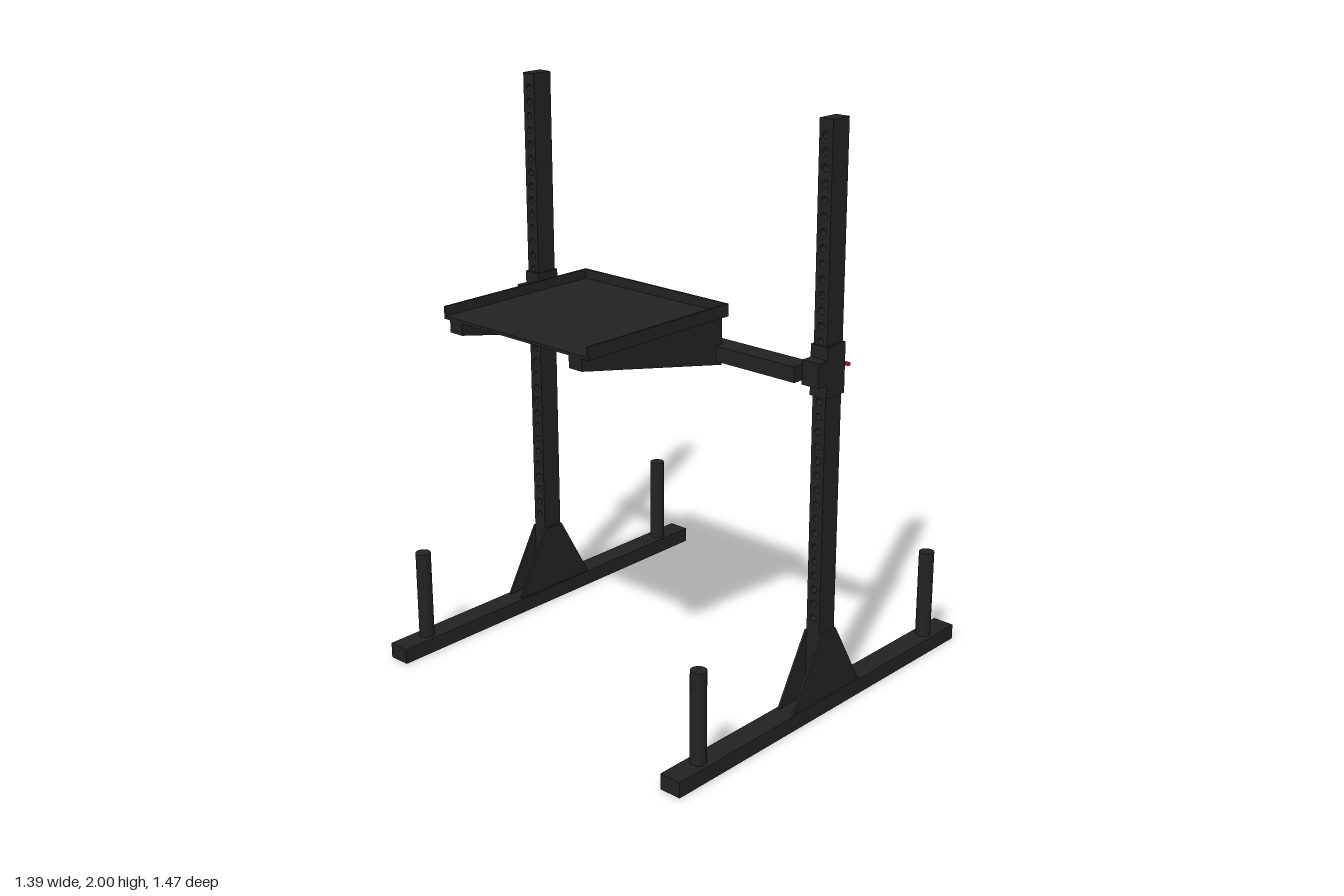
import * as THREE from 'three';

const black = new THREE.MeshStandardMaterial({ color: 0x222222 });
black.name = 'blackSteel';
const red = new THREE.MeshStandardMaterial({ color: 0xcc2222 });
red.name = 'redPin';

function add(parent, name, geometry, x, y, z, material = black) {
  const mesh = new THREE.Mesh(geometry, material);
  mesh.name = name;
  mesh.position.set(x, y, z);
  parent.add(mesh);
  return mesh;
}

const box = (w, h, d) => new THREE.BoxGeometry(w, h, d);

// Plate drawn in (z, y) and extruded along x, centred on x = 0
function sidePlate(points, width) {
  const shape = new THREE.Shape(points.map(([z, y]) => new THREE.Vector2(-z, y)));
  const geometry = new THREE.ExtrudeGeometry(shape, { depth: width, bevelEnabled: false });
  geometry.translate(0, 0, -width / 2);
  geometry.rotateY(Math.PI / 2);
  return geometry;
}

// Upright with a row of holes running front to back
function uprightGeometry() {
  const w = 0.026;
  const shape = new THREE.Shape([
    new THREE.Vector2(-w, 0.05), new THREE.Vector2(w, 0.05),
    new THREE.Vector2(w, 2), new THREE.Vector2(-w, 2),
  ]);
  for (let i = 0; i < 33; i++) {
    const hole = new THREE.Path();
    hole.absarc(0, 0.35 + i * 0.05, 0.012, 0, Math.PI * 2, true);
    shape.holes.push(hole);
  }
  const geometry = new THREE.ExtrudeGeometry(shape, { depth: 0.08, bevelEnabled: false, curveSegments: 12 });
  geometry.translate(0, 0, -0.04);
  return geometry;
}

// One side of the stand: foot, upright, gussets, pegs and sliding carriage
function createStand(side) {
  const stand = new THREE.Group();
  stand.name = side > 0 ? 'leftStand' : 'rightStand';
  stand.position.x = side * 0.653;

  add(stand, 'foot', box(0.08, 0.055, 1.47), 0, 0.0275, 0);
  add(stand, 'upright', uprightGeometry(), 0, 0, 0);

  const gusset = sidePlate([[-0.175, 0.055], [0.175, 0.055], [0.04, 0.295], [-0.04, 0.295]], 0.008);
  for (const s of [-1, 1]) {
    add(stand, 'gussetPlate', gusset, s * 0.03, 0, 0);
    add(stand, 'storagePeg', new THREE.CylinderGeometry(0.027, 0.027, 0.32, 24), 0, 0.215, s * 0.605);
  }

  // Carriage sleeve, front mounting block and locking pin
  add(stand, 'sleeve', box(0.066, 0.17, 0.092), 0, 1.203, 0);
  add(stand, 'mountBlock', box(0.066, 0.082, 0.045), 0, 1.204, 0.0655);
  const knob = add(stand, 'pinKnob', new THREE.CylinderGeometry(0.016, 0.016, 0.028, 20), 0, 1.203, -0.058, red);
  knob.rotation.x = Math.PI / 2;
  add(stand, 'pinHandle', box(0.052, 0.01, 0.012), 0, 1.203, -0.078, red);
  return stand;
}

// Tray with thin rims on the sides and back, held by two wedge brackets
function createTray() {
  const tray = new THREE.Group();
  tray.name = 'tray';
  add(tray, 'trayFloor', box(0.65, 0.01, 0.635), 0, 1.335, 0.4175);
  add(tray, 'backRim', box(0.65, 0.042, 0.008), 0, 1.351, 0.104);
  const bracket = sidePlate([[0.1, 1.16], [0.735, 1.29], [0.735, 1.33], [0.1, 1.33]], 0.055);
  for (const s of [-1, 1]) {
    add(tray, 'sideRim', box(0.008, 0.042, 0.635), s * 0.321, 1.351, 0.4175);
    add(tray, 'trayBracket', bracket, s * 0.27, 0, 0);
  }
  return tray;
}

export function createModel() {
  const model = new THREE.Group();
  model.name = 'squatStand';
  model.add(createStand(1), createStand(-1));
  add(model, 'crossbar', box(1.244, 0.052, 0.08), 0, 1.204, 0.088);
  model.add(createTray());
  return model;
}
